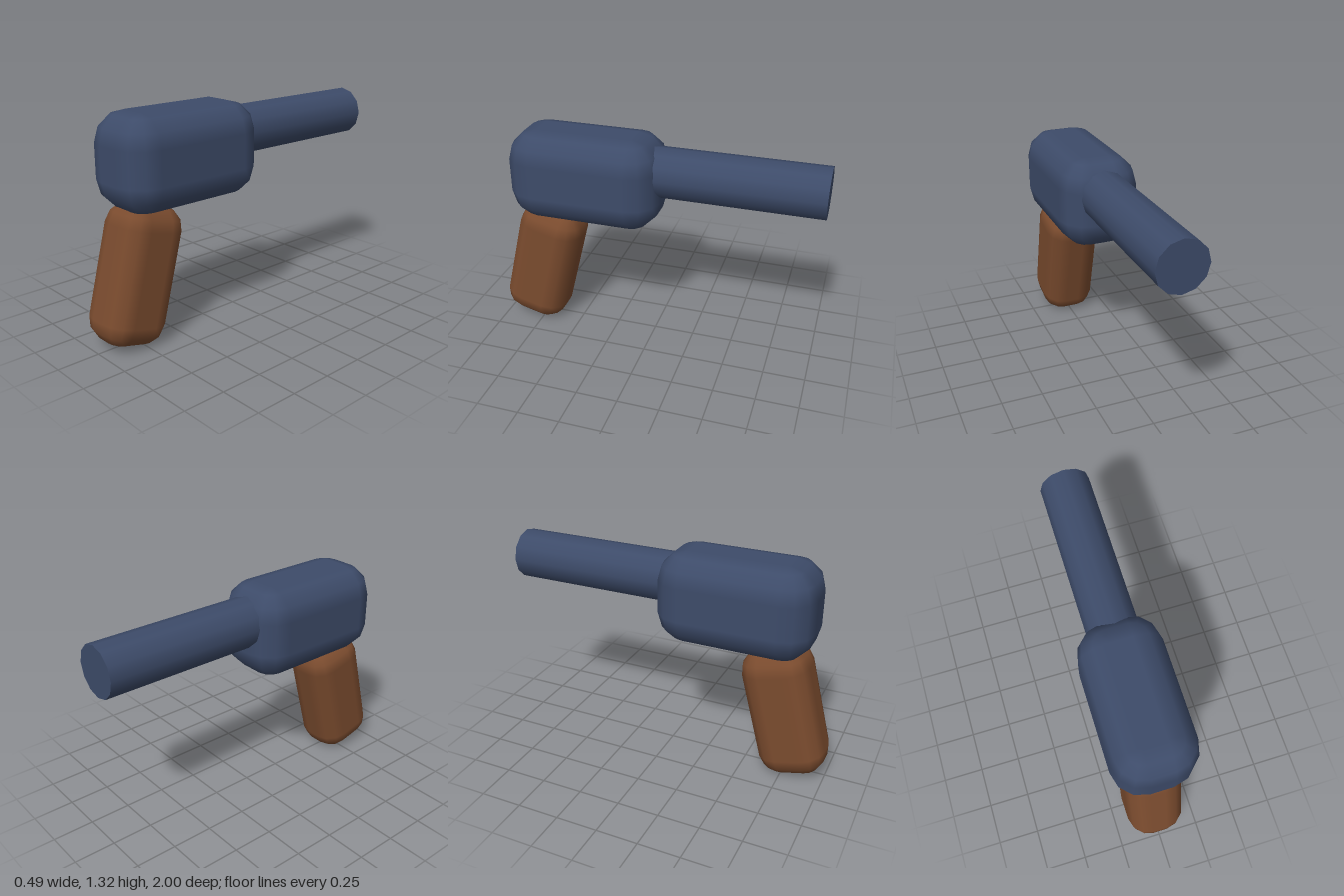
import * as THREE from 'three';

// Box with edges and corners rounded by arcs of a few segments, smooth normals
function roundedBox(w, h, d, r, seg = 3) {
  const pos = [], nor = [], idx = [];
  const ex = w / 2 - r, ey = h / 2 - r, ez = d / 2 - r;
  const cols = 4 * (seg + 1), rows = 2 * (seg + 1);
  for (let i = 0; i < rows; i++) {
    const top = i > seg;
    const lat = (i - seg - (top ? 1 : 0)) / seg * Math.PI / 2;
    for (let j = 0; j < cols; j++) {
      const q = Math.floor(j / (seg + 1));
      const lon = (q + (j % (seg + 1)) / seg) * Math.PI / 2;
      const n = [Math.cos(lat) * Math.cos(lon), Math.sin(lat), Math.cos(lat) * Math.sin(lon)];
      const sx = q === 0 || q === 3 ? 1 : -1, sz = q < 2 ? 1 : -1;
      pos.push(sx * ex + r * n[0], (top ? ey : -ey) + r * n[1], sz * ez + r * n[2]);
      nor.push(...n);
    }
  }
  // side strips
  for (let i = 0; i < rows - 1; i++) {
    for (let j = 0; j < cols; j++) {
      const k = (j + 1) % cols;
      const a = i * cols + j, b = i * cols + k, c = a + cols, e = b + cols;
      idx.push(a, c, e, a, e, b);
    }
  }
  // flat bottom and top, one vertex per corner
  const s = seg + 1, t = (rows - 1) * cols;
  idx.push(0, s, 2 * s, 0, 2 * s, 3 * s);
  idx.push(t, t + 2 * s, t + s, t, t + 3 * s, t + 2 * s);
  const g = new THREE.BufferGeometry();
  g.setAttribute('position', new THREE.Float32BufferAttribute(pos, 3));
  g.setAttribute('normal', new THREE.Float32BufferAttribute(nor, 3));
  g.setIndex(idx);
  return g;
}

export function createModel() {
  const group = new THREE.Group();
  const blue = new THREE.MeshStandardMaterial({ color: 0x3d4b69 });
  const brown = new THREE.MeshStandardMaterial({ color: 0x7a4b2e });
  const add = (name, geometry, material, x, y, z) => {
    const mesh = new THREE.Mesh(geometry, material);
    mesh.name = name;
    mesh.position.set(x, y, z);
    group.add(mesh);
    return mesh;
  };

  // main housing
  add('body', roundedBox(0.485, 0.55, 0.93, 0.175), blue, 0, 1.045, 0.415);

  // twelve-sided barrel, running into the housing
  const barrel = new THREE.CylinderGeometry(0.15, 0.15, 1.2, 12).rotateX(Math.PI / 2);
  add('barrel', barrel, blue, 0, 1.115, -0.4);

  // tilted handle
  const grip = add('grip', roundedBox(0.345, 0.8, 0.405, 0.13), brown, 0, 0.41, 0.7325);
  grip.rotation.x = -0.25;

  return group;
}
